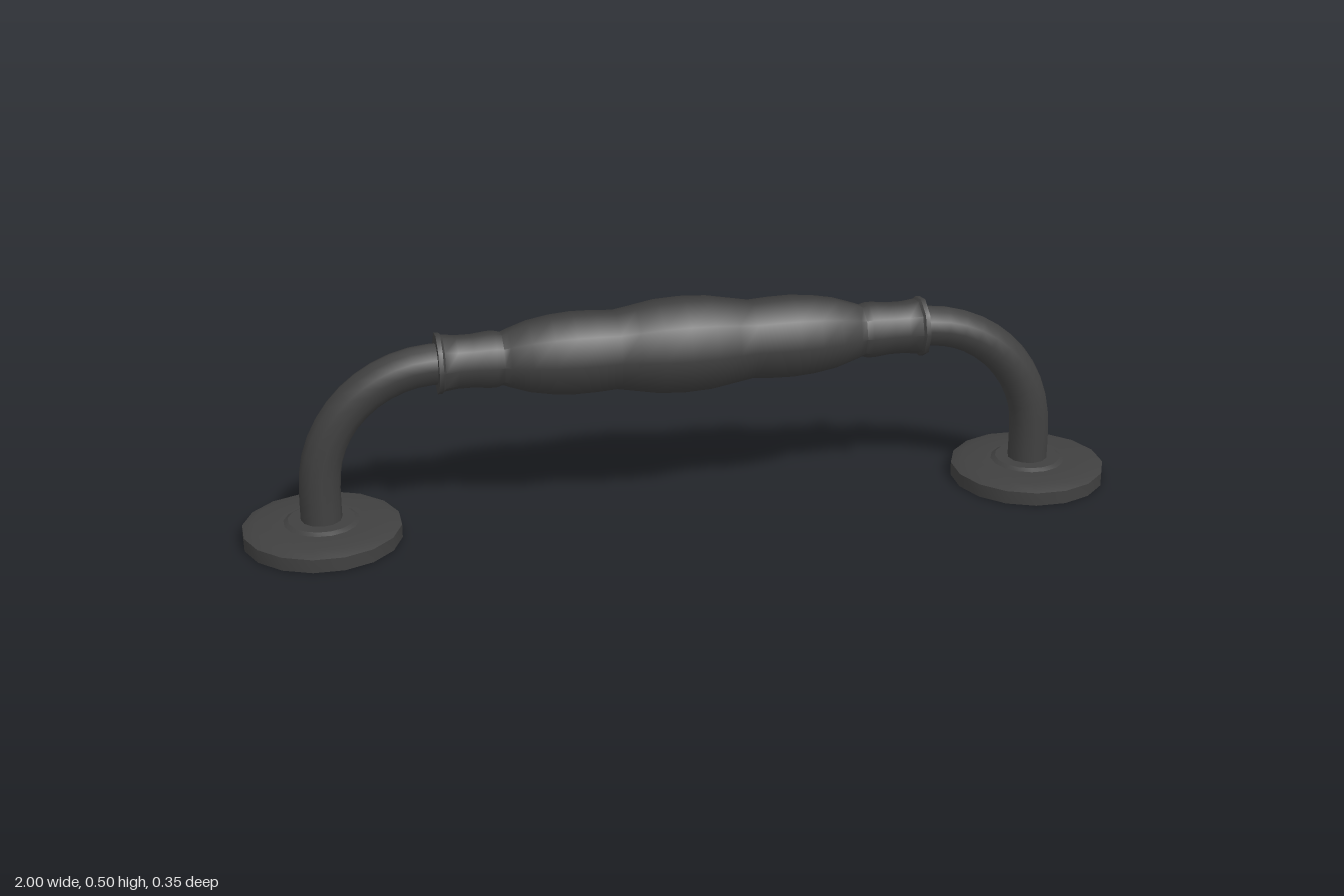
import * as THREE from 'three';
import { toCreasedNormals } from 'three/addons/utils/BufferGeometryUtils.js';

const AXIS_Y = 0.395; // height of the grip axis
const FOOT_X = 0.823; // distance of each mounting plate from the middle
const BEND = 0.27; // bend radius of the arms

const metal = new THREE.MeshStandardMaterial({ color: 0x404040, side: THREE.DoubleSide });

function part(name, geometry) {
  const mesh = new THREE.Mesh(geometry, metal);
  mesh.name = name;
  return mesh;
}

function lathe(points, sides, crease) {
  const profile = points.map(([r, y]) => new THREE.Vector2(r, y));
  return toCreasedNormals(new THREE.LatheGeometry(profile, sides), crease);
}

// Turned grip: half profile as [radius, distance from the middle], mirrored
function makeGrip() {
  const half = [
    [0.11, 0], [0.107, 0.06], [0.098, 0.11], [0.09, 0.155], [0.093, 0.2],
    [0.094, 0.25], [0.09, 0.3], [0.081, 0.35], [0.066, 0.395], [0.06, 0.41],
    [0.064, 0.425], [0.064, 0.44], [0.06, 0.475], [0.06, 0.51], [0.064, 0.54],
    [0.069, 0.545], [0.069, 0.555], [0.04, 0.555],
  ];
  const mirrored = half.slice(1).reverse().map(([r, y]) => [r, -y]);
  const geometry = lathe([...mirrored, ...half], 9, 0.75);
  geometry.rotateZ(-Math.PI / 2);
  const grip = part('grip', geometry);
  grip.position.y = AXIS_Y;
  return grip;
}

// Bent arm: rises from the plate, then turns a quarter circle into the grip
function makeArm(side) {
  const path = new THREE.CurvePath();
  const v = (x, y) => new THREE.Vector3(side * x, y, 0);
  const points = [v(FOOT_X, 0.042)];
  const steps = 8;
  for (let i = 0; i <= steps; i++) {
    const a = (i / steps) * Math.PI / 2;
    points.push(v(FOOT_X - BEND + BEND * Math.cos(a), AXIS_Y - BEND + BEND * Math.sin(a)));
  }
  points.push(v(0.53, AXIS_Y));
  for (let i = 1; i < points.length; i++) path.add(new THREE.LineCurve3(points[i - 1], points[i]));
  const smooth = new THREE.CatmullRomCurve3(points);
  return part(side > 0 ? 'leftArm' : 'rightArm', new THREE.TubeGeometry(smooth, 14, 0.046, 12));
}

// Hollow mounting plate, open underneath, with a chamfered rim and a low collar
function makePlate(side) {
  const profile = [
    [0.178, 0], [0.178, 0.031], [0.152, 0.042], [0.085, 0.042], [0.075, 0.048], [0.04, 0.048],
  ];
  const plate = part(side > 0 ? 'leftPlate' : 'rightPlate', lathe(profile, 16, 0.5));
  plate.geometry.rotateY(Math.PI / 16);
  plate.position.x = side * FOOT_X;
  return plate;
}

export function createModel() {
  const model = new THREE.Group();
  model.name = 'pullHandle';
  model.add(makeGrip());
  for (const side of [1, -1]) model.add(makeArm(side), makePlate(side));
  return model;
}
